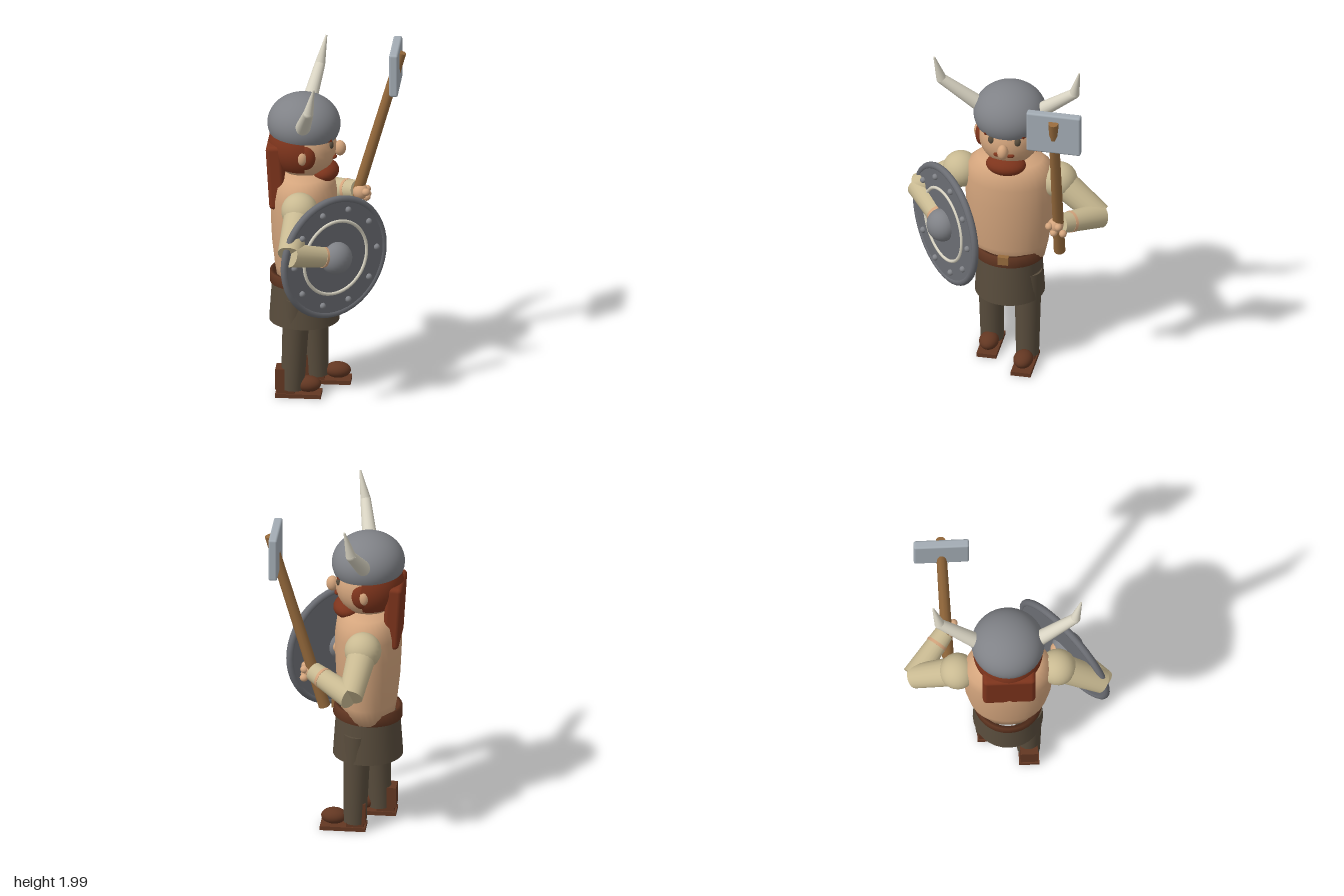
import * as THREE from 'three';
import { RoundedBoxGeometry } from 'three/addons/geometries/RoundedBoxGeometry.js';

const V = (x, y, z) => new THREE.Vector3(x, y, z);

export function createModel() {
  const model = new THREE.Group();
  const mat = (name, color) => Object.assign(new THREE.MeshStandardMaterial({ color }), { name });
  const skin = mat('skin', 0xd4a57d);
  const sleeve = mat('sleeve linen', 0xc9ba92);
  const hair = mat('red hair', 0x7d341c);
  const iron = mat('helmet iron', 0x808287);
  const shieldIron = mat('shield iron', 0x6b6d73);
  const steel = mat('axe steel', 0xa3acb4);
  const wood = mat('wood', 0x966a3c);
  const leather = mat('leather', 0x633722);
  const cloth = mat('dark cloth', 0x584c3c);
  const horn = mat('horn', 0xd8d3c2);
  hair.side = cloth.side = leather.side = THREE.DoubleSide;

  const add = (name, geo, material, pos = [0, 0, 0], parent = model) => {
    const mesh = new THREE.Mesh(geo, material);
    mesh.name = name;
    mesh.position.set(...pos);
    parent.add(mesh);
    return mesh;
  };
  const ball = (name, material, pos, r, parent) =>
    add(name, new THREE.SphereGeometry(1, 24, 16).scale(...r), material, pos, parent);
  const box = (name, material, pos, size, parent) =>
    add(name, new THREE.BoxGeometry(...size), material, pos, parent);
  // tapered cylinder running from a to b
  const limb = (name, material, a, b, ra, rb, sides = 20) => {
    const d = b.clone().sub(a);
    const mesh = add(name, new THREE.CylinderGeometry(rb, ra, d.length(), sides), material);
    mesh.position.copy(a).add(b).multiplyScalar(0.5);
    mesh.quaternion.setFromUnitVectors(V(0, 1, 0), d.normalize());
    return mesh;
  };
  const lathe = (pts) => new THREE.LatheGeometry(pts.map((p) => new THREE.Vector2(...p)), 32);

  // body, with the face turned towards +x
  add('torso', lathe([[0, 0.68], [0.2, 0.68], [0.222, 0.78], [0.245, 0.93], [0.255, 1.08],
    [0.255, 1.2], [0.24, 1.28], [0.19, 1.325], [0.1, 1.35], [0, 1.355]]).scale(0.74, 1, 1), skin, [-0.17, 0, 0]);
  add('skirt', lathe([[0.2, 0.435], [0.193, 0.54], [0.182, 0.7]]), cloth, [-0.168, 0, 0]);
  const belt = add('belt', lathe([[0.175, -0.032], [0.198, -0.032], [0.194, 0.032], [0.175, 0.032], [0.175, -0.032]]),
    leather, [-0.168, 0.71, 0]);
  belt.rotation.z = 0.06;
  box('beltBuckle', wood, [0.022, 0.737, 0], [0.03, 0.05, 0.062]);

  // head
  ball('head', skin, [-0.17, 1.49, 0], [0.188, 0.185, 0.18]);
  ball('nose', skin, [0.035, 1.48, 0], [0.035, 0.045, 0.032]);
  add('backHair', new THREE.SphereGeometry(0.198, 24, 16, -1.7, 3.4, 0.9, 1.35), hair, [-0.175, 1.5, 0]);
  const braid = add('hairSlab', new RoundedBoxGeometry(0.095, 0.385, 0.3, 2, 0.025), hair, [-0.32, 1.335, 0]);
  braid.rotation.z = 0.06;
  ball('beard', hair, [-0.055, 1.342, 0], [0.085, 0.06, 0.115]);
  for (const s of [1, -1]) {
    ball('sideburn', hair, [-0.15, 1.475, s * 0.155], [0.06, 0.075, 0.04]);
    ball('ear', skin, [-0.165, 1.48, s * 0.185], [0.027, 0.043, 0.022]);
    ball('eye', cloth, [-0.012, 1.527, s * 0.075], [0.018, 0.026, 0.02]);
    const brow = box('eyebrow', hair, [-0.025, 1.565, s * 0.095], [0.025, 0.014, 0.05]);
    brow.rotation.y = s * 0.5;
    ball('moustache', hair, [0.005, 1.442, s * 0.036], [0.016, 0.013, 0.025]);
  }

  // helmet and horns
  const helmet = add('helmet', new THREE.SphereGeometry(0.208, 40, 24, 0, Math.PI * 2, 0, Math.PI * 0.62)
    .scale(1, 0.83, 1), iron, [-0.17, 1.628, 0]);
  helmet.rotation.z = -0.06;
  add('helmetLiner', new THREE.CircleGeometry(0.193, 40).rotateX(Math.PI / 2), iron, [0, -0.063, 0], helmet);
  for (const s of [1, -1]) {
    const bend = V(-0.112, 1.835, s * 0.385);
    limb('hornBase', horn, V(-0.168, 1.64, s * 0.15), bend, 0.046, 0.03);
    ball('hornBend', horn, bend.toArray(), [0.03, 0.03, 0.03]);
    limb('hornTip', horn, bend, V(-0.078, 1.998, s * 0.421), 0.03, 0.005);
  }

  // legs and shoes, the right one a step ahead
  for (const [z, hip, ankle, toe] of [[0.115, -0.2, -0.225, -0.06], [-0.115, -0.12, -0.105, 0.09]]) {
    limb('leg', cloth, V(ankle, 0.05, z), V(hip, 0.6, z), 0.066, 0.079);
    box('sole', leather, [toe - 0.13, 0.018, z], [0.26, 0.024, 0.115]);
    ball('shoe', leather, [toe - 0.076, 0.077, z], [0.074, 0.046, 0.056]);
    box('heelGuard', leather, [toe - 0.225, 0.115, z], [0.07, 0.125, 0.1]);
    box('heel', leather, [toe - 0.2, 0.042, z], [0.1, 0.03, 0.1]);
  }

  // arms
  const arm = (shoulder, elbow, wrist, hand) => {
    ball('shoulder', sleeve, shoulder.toArray(), [0.105, 0.105, 0.105]);
    limb('upperArm', sleeve, shoulder, elbow, 0.085, 0.07);
    limb('forearm', sleeve, elbow, wrist, 0.072, 0.056);
    const d = wrist.clone().sub(elbow);
    const cuff = elbow.clone().addScaledVector(d, 0.72);
    limb('cuffBand', skin, cuff, cuff.clone().addScaledVector(d, 0.06), 0.063, 0.061);
    ball('hand', skin, hand.toArray(), [0.045, 0.045, 0.045]);
  };
  const rightHand = V(0.125, 1.085, -0.325);
  arm(V(-0.17, 1.2, -0.285), V(-0.125, 1.02, -0.53), V(0.105, 1.085, -0.35), rightHand);
  arm(V(-0.17, 1.2, 0.285), V(-0.205, 1.03, 0.535), V(0.03, 0.945, 0.345), V(0.03, 0.95, 0.295));
  for (let i = 0; i < 4; i++)
    ball('finger', skin, [0.158, 1.055 + (i % 2) * 0.04, -0.375 + i * 0.027], [0.024, 0.022, 0.022]);

  // axe
  limb('axeHaft', wood, V(0.045, 0.865, -0.332), V(0.355, 1.93, -0.36), 0.034, 0.029, 10);
  add('axeHead', new RoundedBoxGeometry(0.05, 0.255, 0.315, 2, 0.012), steel, [0.322, 1.845, -0.357]);

  // shield, built facing +z and then turned outwards
  const shield = new THREE.Group();
  shield.name = 'shield';
  shield.position.set(0.028, 0.945, 0.332);
  shield.rotation.y = Math.atan2(0.65, 0.76);
  model.add(shield);
  add('shieldDisc', new THREE.CylinderGeometry(0.35, 0.35, 0.03, 48).rotateX(Math.PI / 2), shieldIron, [0, 0, 0], shield);
  add('shieldRim', new THREE.TorusGeometry(0.345, 0.021, 10, 48), shieldIron, [0, 0, 0], shield);
  add('shieldRing', new THREE.TorusGeometry(0.218, 0.01, 8, 48), horn, [0, 0, 0.016], shield);
  ball('shieldBoss', iron, [0, 0, 0.025], [0.095, 0.095, 0.085], shield);
  for (let i = 0; i < 10; i++) {
    const a = (i + 0.5) * Math.PI / 5;
    ball('rivet', iron, [0.288 * Math.sin(a), 0.288 * Math.cos(a), 0.018], [0.018, 0.018, 0.018], shield);
  }
  return model;
}
